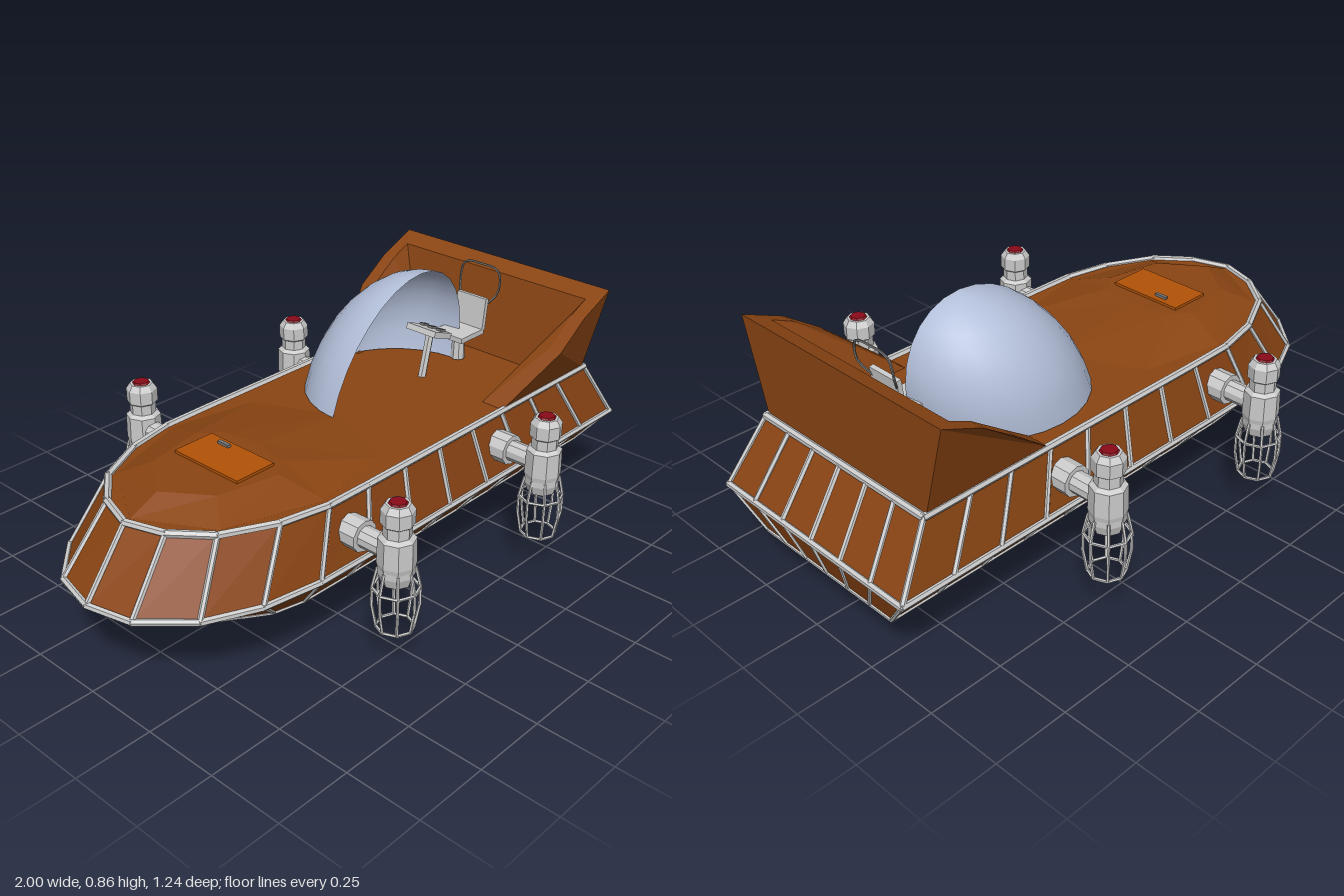
import * as THREE from 'three';
import { mergeGeometries } from 'three/addons/utils/BufferGeometryUtils.js';

const mat = (color, extra = {}) => new THREE.MeshStandardMaterial({ color, ...extra });
const V = (x, y, z) => new THREE.Vector3(x, y, z);

export function createModel() {
  const model = new THREE.Group();
  const grey = mat(0xcccccc, { flatShading: true, side: THREE.DoubleSide });
  const brown = mat(0x8b4513, { flatShading: true, side: THREE.DoubleSide });
  const orange = mat(0xb35408, { flatShading: true });
  const red = mat(0x8a0a18, { flatShading: true });
  const dark = mat(0x777777, { flatShading: true, side: THREE.DoubleSide });
  const glass = mat(0xb4c0da, { side: THREE.DoubleSide });

  const add = (name, geo, material, parent = model, pos = [0, 0, 0]) => {
    const m = new THREE.Mesh(geo, material);
    m.name = name;
    m.position.set(...pos);
    parent.add(m);
    return m;
  };
  // geometry from flat polygons given as lists of corner points
  const polys = (list) => {
    const p = [];
    for (const f of list)
      for (let i = 1; i < f.length - 1; i++) for (const v of [f[0], f[i], f[i + 1]]) p.push(v.x, v.y, v.z);
    const g = new THREE.BufferGeometry();
    g.setAttribute('position', new THREE.Float32BufferAttribute(p, 3));
    g.computeVertexNormals();
    return g;
  };
  // quads between successive closed rings, upper ring first
  const loft = (rings) => {
    const faces = [];
    for (let r = 0; r < rings.length - 1; r++) {
      const a = rings[r], b = rings[r + 1], n = a.length;
      for (let i = 0; i < n; i++) faces.push([b[i], b[(i + 1) % n], a[(i + 1) % n], a[i]]);
    }
    return faces;
  };
  const beam = (a, b, r, sides = 6) => {
    const d = b.clone().sub(a);
    const g = new THREE.CylinderGeometry(r, r, d.length() + r * 0.6, sides);
    g.applyQuaternion(new THREE.Quaternion().setFromUnitVectors(V(0, 1, 0), d.normalize()));
    const c = a.clone().add(b).multiplyScalar(0.5);
    return g.translate(c.x, c.y, c.z);
  };

  // Hull stations, bow to stern along one side: deck x, deck z, chine x, chine z
  const half = [
    [-0.84, 0, -0.99, 0], [-0.8, 0.125, -0.955, 0.15], [-0.71, 0.235, -0.83, 0.285],
    [-0.55, 0.315, -0.665, 0.36], [-0.39, 0.348, -0.47, 0.392],
    ...[-0.23, -0.07, 0.09, 0.25, 0.4, 0.55, 0.7].map((x) => [x, 0.35, x * 1.16, 0.395]),
    ...[1, 2 / 3, 1 / 3, 0].map((k) => [0.865, 0.35 * k, 0.99, 0.395 * k]),
  ];
  const loop = [...half, ...half.slice(1, -1).reverse().map(([a, b, c, d]) => [a, -b, c, -d])];
  const keelX = (x) => THREE.MathUtils.clamp(x, -0.4, 0.83);
  const deck = loop.map(([x, z]) => V(x, 0.495, z));
  const chine = loop.map(([, , x, z]) => V(x, 0.295, z));
  const bilge = loop.map(([dx, , x, z]) =>
    V(THREE.MathUtils.lerp(x, keelX(dx), x < 0 ? 0.5 : 0.28), 0.16, z * 0.725));
  const keelLine = loop.map(([x, z]) => V(keelX(x), 0.035, z * 0.06));
  const rings = [deck, chine, bilge, keelLine];
  add('hull', polys([...loft(rings), deck, [...keelLine].reverse()]), brown);

  // Rails around the hull and ribs at every station
  const bars = [];
  rings.forEach((ring, r) => ring.forEach((p, i) => {
    if (r < 3) {
      bars.push(beam(p, ring[(i + 1) % ring.length], [0.012, 0.011, 0.007][r]));
      bars.push(beam(p, rings[r + 1][i], [0.009, 0.007, 0.006][r]));
    }
  }));
  add('hullFrame', mergeGeometries(bars), grey);

  // Keel bar
  const keelRings = [[-0.45, 0.06, 0.045, 0.02], [-0.37, 0.045, 0.006, 0.035], [0.55, 0.045, 0.003, 0.035],
    [0.7, 0.045, 0.012, 0.035], [0.85, 0.055, 0.035, 0.025]].map(([x, t, b, w]) =>
    [V(x, t, w), V(x, t, -w), V(x, b, -w * 0.4), V(x, b, w * 0.4)]);
  add('keel', polys([...loft(keelRings), keelRings[0], keelRings[4]]), dark);

  // Raised foredeck
  const mirrorLoop = (pts, y) => [...pts.map(([x, z]) => V(x, y, z)),
    ...pts.slice(1, -1).reverse().map(([x, z]) => V(x, y, -z))];
  const humpLow = mirrorLoop([[-0.82, 0], [-0.69, 0.225], [-0.38, 0.325], [-0.1, 0.27], [0.03, 0]], 0.497);
  const humpTop = mirrorLoop([[-0.72, 0], [-0.62, 0.14], [-0.42, 0.18], [-0.36, 0.13], [-0.33, 0]], 0.541);
  add('foredeck', polys([...loft([humpTop, humpLow]), humpTop]), brown);
  add('hatch', new THREE.BoxGeometry(0.145, 0.012, 0.265), orange, model, [-0.467, 0.544, 0]);
  add('hatchHandle', new THREE.BoxGeometry(0.012, 0.012, 0.045), dark, model, [-0.42, 0.553, -0.05]);

  // Canopy: quarter ellipsoid leaning back
  const dome = new THREE.SphereGeometry(1, 14, 8, -Math.PI / 2, Math.PI, 0, Math.PI / 2);
  dome.rotateY(-Math.PI / 2);
  const dp = dome.attributes.position;
  for (let i = 0; i < dp.count; i++) {
    const y = dp.getY(i) * 0.365;
    dp.setXYZ(i, 0.3 + dp.getX(i) * 0.305 + y * 0.3, 0.5 + y, dp.getZ(i) * 0.3);
  }
  dome.computeVertexNormals();
  add('canopy', dome, glass);

  // Stern fairing around the cockpit: outer walls, inner walls and the rim between
  const fairing = [];
  const outer = [[0.41, 0.497, 0.35], [0.6, 0.655, 0.427], [0.72, 0.738, 0.427], [0.855, 0.795, 0.427]];
  const inner = [[0.41, 0.497, 0.27], [0.6, 0.655, 0.38], [0.72, 0.738, 0.38], [0.79, 0.77, 0.38]];
  const at = (s) => ([x, y, z]) => V(x, y, z * s);
  for (const s of [1, -1]) {
    const o = outer.map(at(s)), n = inner.map(at(s));
    const oBase = V(0.855, 0.497, 0.35 * s), nBase = V(0.72, 0.497, 0.27 * s);
    const faces = [[oBase, o[3], o[2], o[1], o[0]], [n[0], n[1], n[2], n[3], nBase]];
    for (let i = 0; i < 3; i++) faces.push([o[i], o[i + 1], n[i + 1], n[i]]);
    fairing.push(...faces.map((f) => (s > 0 ? f : f.reverse())));
  }
  const O = [1, -1].map((s) => at(s)(outer[3])), N = [1, -1].map((s) => at(s)(inner[3]));
  fairing.push([O[0], O[1], N[1], N[0]],
    [V(0.855, 0.497, 0.35), V(0.855, 0.497, -0.35), O[1], O[0]],
    [N[0], N[1], V(0.72, 0.497, -0.27), V(0.72, 0.497, 0.27)]);
  add('sternFairing', polys(fairing), brown);

  // Pilot seat with wire headrest
  const seat = new THREE.Group();
  seat.name = 'seat';
  model.add(seat);
  add('seatPost', new THREE.CylinderGeometry(0.02, 0.025, 0.09, 8), grey, seat, [0.62, 0.545, 0]);
  add('seatCushion', new THREE.BoxGeometry(0.12, 0.018, 0.12), grey, seat, [0.62, 0.595, 0]);
  add('seatBack', new THREE.BoxGeometry(0.016, 0.11, 0.12), grey, seat, [0.684, 0.655, 0]).rotation.z = -0.12;
  const wire = new THREE.CatmullRomCurve3([V(0.69, 0.68, 0.05), V(0.72, 0.73, 0.08), V(0.73, 0.8, 0.07),
    V(0.73, 0.81, 0), V(0.73, 0.8, -0.07), V(0.72, 0.73, -0.08), V(0.69, 0.68, -0.05)]);
  add('headrest', new THREE.TubeGeometry(wire, 24, 0.004, 5), dark, seat);

  // Control console
  const consoleGroup = new THREE.Group();
  consoleGroup.name = 'console';
  model.add(consoleGroup);
  add('consolePost', beam(V(0.43, 0.495, 0), V(0.465, 0.64, 0), 0.014), grey, consoleGroup);
  const panel = add('consolePanel', new THREE.BoxGeometry(0.09, 0.02, 0.12), grey, consoleGroup, [0.458, 0.65, 0]);
  panel.rotation.z = -0.35;
  for (const z of [-0.035, 0, 0.035])
    add('consoleKey', new THREE.BoxGeometry(0.03, 0.01, 0.018), dark, panel, [0.015, 0.012, z]);

  // Four thruster pods on side arms
  const profile = [[0, 0.3], [0.045, 0.3], [0.055, 0.33], [0.055, 0.35], [0.058, 0.365], [0.056, 0.445],
    [0.042, 0.455], [0.042, 0.488], [0.05, 0.494], [0.05, 0.537], [0.037, 0.556], [0, 0.556]]
    .map(([r, y]) => new THREE.Vector2(r, y));
  const cagePath = [[0.055, 0.345], [0.069, 0.28], [0.069, 0.22], [0.056, 0.148]];
  const cage = [];
  for (let i = 0; i < 8; i++) {
    const spot = ([r, y], k) => V(r * Math.cos(k * Math.PI / 4), y, r * Math.sin(k * Math.PI / 4));
    for (let j = 0; j < 3; j++) cage.push(beam(spot(cagePath[j], i), spot(cagePath[j + 1], i), 0.005, 5));
    for (const j of [1, 3]) cage.push(beam(spot(cagePath[j], i), spot(cagePath[j], i + 1), 0.005, 5));
  }
  const cageGeo = mergeGeometries(cage);
  const bodyGeo = new THREE.LatheGeometry(profile, 8);
  for (const x of [-0.325, 0.37]) for (const s of [1, -1]) {
    const pod = new THREE.Group();
    pod.name = 'thrusterPod';
    pod.position.set(x, 0, 0.545 * s);
    model.add(pod);
    add('podBody', bodyGeo, grey, pod);
    add('podCage', cageGeo, grey, pod);
    add('podLamp', new THREE.CylinderGeometry(0.025, 0.03, 0.008, 8), red, pod, [0, 0.558, 0]);
    add('podArm', beam(V(0, 0.395, -0.03 * s), V(0, 0.395, -0.19 * s), 0.034, 10), grey, pod);
    add('podFlange', beam(V(0, 0.395, -0.135 * s), V(0, 0.395, -0.185 * s), 0.05, 10), grey, pod);
  }
  return model;
}
